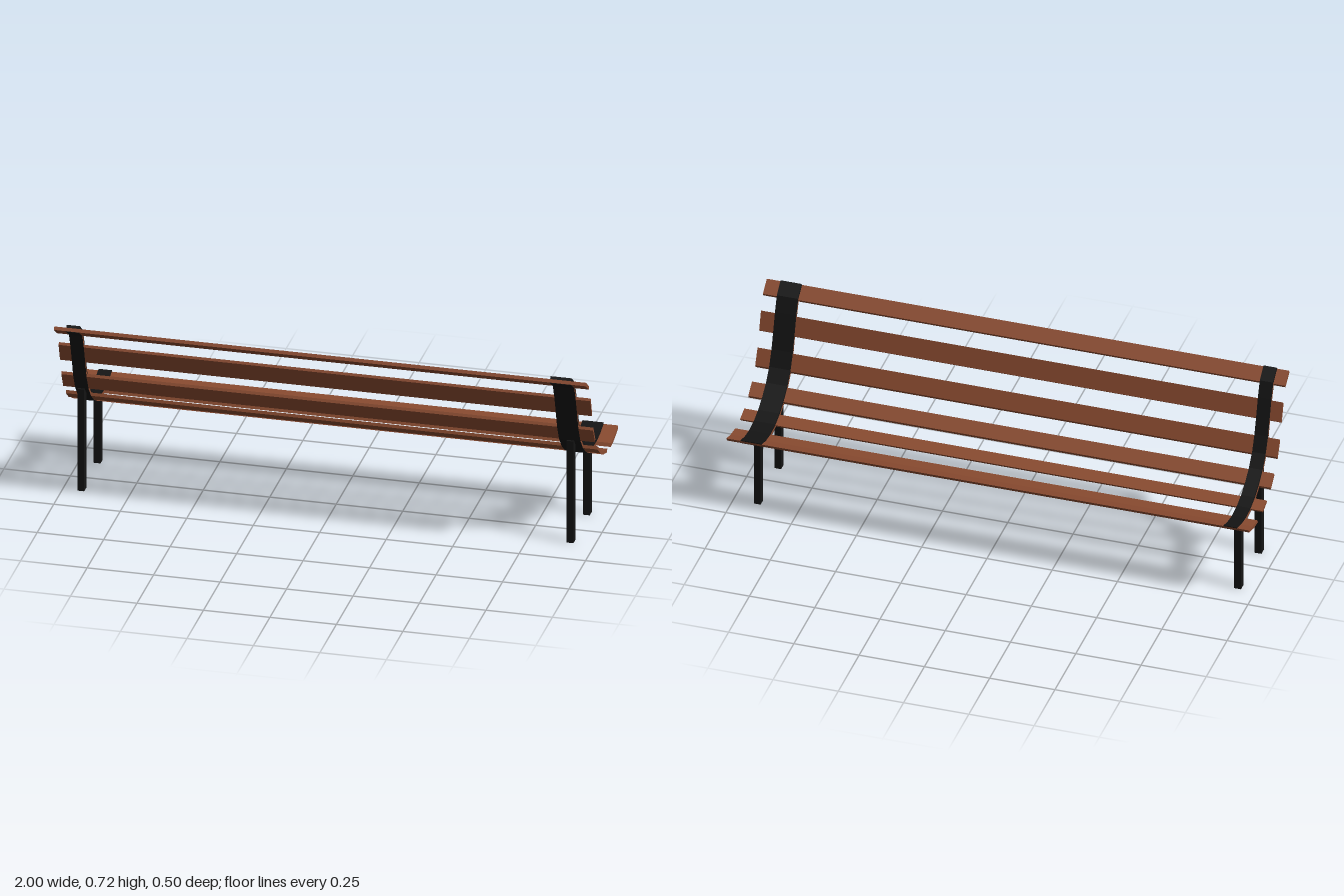
import * as THREE from 'three';

// Bench curve as [z, y], from the top of the back to the front of the seat
const outer = [[.25, .703], [.2, .667], [.178, .61], [.156, .54], [.137, .473], [.107, .412], [.068, .365],
  [.025, .33], [-.02, .305], [-.07, .29], [-.13, .285], [-.18, .29], [-.235, .306]];
const inner = [[.235, .722], [.19, .685], [.167, .625], [.145, .55], [.126, .49], [.098, .43], [.06, .385],
  [.015, .35], [-.035, .325], [-.085, .309], [-.14, .303], [-.195, .31], [-.246, .325]];
const woodDepth = [.55, .55, .55, .55, .55, .55, .55, .55, .55, .6, .7, .75, .75];

const wood = new THREE.MeshStandardMaterial({ color: 0x8a4b30 });
const iron = new THREE.MeshStandardMaterial({ color: 0x141414 });

// Point between the outer (0) and inner (1) curves
function pointAt(i, t) {
  return new THREE.Vector2(
    -THREE.MathUtils.lerp(outer[i][0], inner[i][0], t),
    THREE.MathUtils.lerp(outer[i][1], inner[i][1], t));
}

// Curved band covering curve points a to b, extruded from x0 to x1
function band(name, material, a, b, low, high, x0, x1) {
  const bottom = [], top = [];
  for (let i = a; i <= b; i++) {
    bottom.push(pointAt(i, low(i)));
    top.unshift(pointAt(i, high(i)));
  }
  const geometry = new THREE.ExtrudeGeometry(new THREE.Shape([...bottom, ...top]),
    { depth: x1 - x0, bevelEnabled: false });
  geometry.translate(0, 0, x0).rotateY(Math.PI / 2);
  const mesh = new THREE.Mesh(geometry, material);
  mesh.name = name;
  return mesh;
}

export function createModel() {
  const bench = new THREE.Group();
  bench.name = 'bench';
  const zero = () => 0;
  const one = () => 1;
  const woodTop = (i) => woodDepth[i];

  // Long slats on every other segment, with a wider one at the seat edge
  for (const [a, b] of [[0, 1], [2, 3], [4, 5], [6, 7], [8, 9], [10, 12]]) {
    bench.add(band('slat', wood, a, b, zero, woodTop, -1, 1));
  }

  // Curved supports: wooden spacers between the slats, iron straps on both faces
  for (const [side, x0, x1] of [['left', .865, .945], ['right', -.955, -.905]]) {
    const support = new THREE.Group();
    support.name = side + 'Support';
    for (const a of [1, 3, 5, 7, 9]) {
      support.add(band('spacer', wood, a, a + 1, zero, woodTop, x0, x1));
    }
    support.add(band('innerStrap', iron, 0, 12, woodTop, one, x0, x1));
    support.add(band('outerStrap', iron, 0, 12, () => -.06, zero, x0, x1));
    bench.add(support);
  }

  // Four square legs
  for (const x of [.908, -.932]) {
    for (const [name, z, height] of [['backLeg', .1, .41], ['seatLeg', -.146, .287]]) {
      const leg = new THREE.Mesh(new THREE.BoxGeometry(.026, height, .031), iron);
      leg.name = name;
      leg.position.set(x, height / 2, z);
      bench.add(leg);
    }
  }
  return bench;
}
